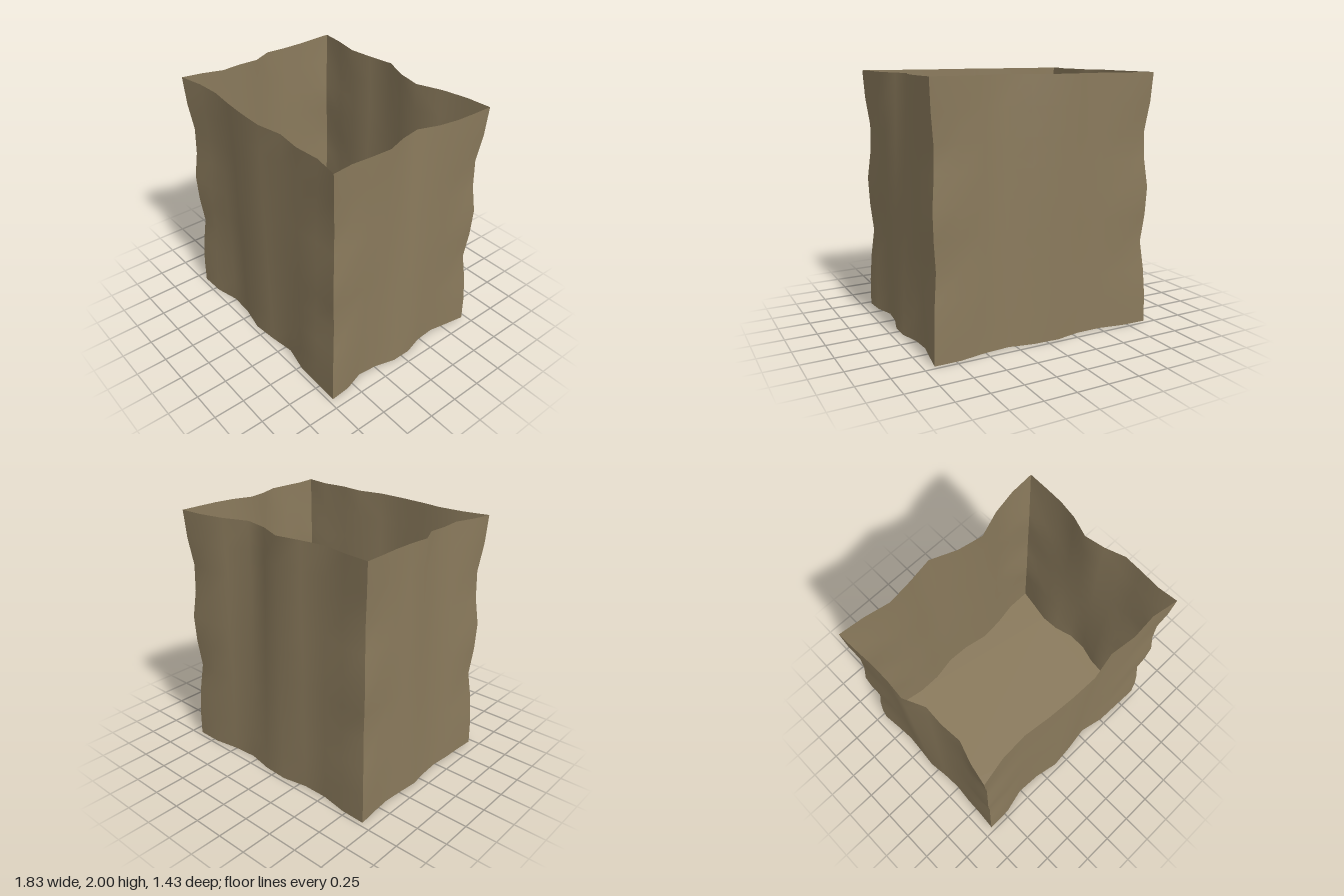
import * as THREE from 'three';

const HALF_X = 0.917, HALF_Z = 0.716, HEIGHT = 2, SEG = 9;

// How far the vertical corner creases pinch inward, from floor to rim
const PINCH = [0, 0.002, 0.015, 0.038, 0.018, 0.01, 0.033, 0.038, 0.012, 0];

// Each wall: outward distance of its floor and rim edges, left to right seen from outside
const WALLS = [
  { name: 'frontWall', turn: 0, half: HALF_X, depth: HALF_Z,
    floor: [0.716, 0.71, 0.66, 0.67, 0.71, 0.69, 0.66, 0.705, 0.71, 0.716],
    rim: [0.716, 0.675, 0.665, 0.69, 0.705, 0.71, 0.67, 0.695, 0.68, 0.716] },
  { name: 'rightWall', turn: Math.PI / 2, half: HALF_Z, depth: HALF_X,
    floor: [0.917, 0.905, 0.855, 0.87, 0.915, 0.915, 0.87, 0.86, 0.89, 0.917],
    rim: [0.917, 0.9, 0.91, 0.915, 0.86, 0.83, 0.885, 0.91, 0.915, 0.917] },
  { name: 'backWall', turn: Math.PI, half: HALF_X, depth: HALF_Z,
    floor: [0.716, 0.716, 0.68, 0.665, 0.705, 0.714, 0.675, 0.675, 0.71, 0.716],
    rim: [0.716, 0.705, 0.665, 0.59, 0.63, 0.714, 0.68, 0.655, 0.695, 0.716] },
  { name: 'leftWall', turn: -Math.PI / 2, half: HALF_Z, depth: HALF_X,
    floor: [0.917, 0.9, 0.888, 0.9, 0.915, 0.895, 0.885, 0.9, 0.905, 0.917],
    rim: [0.917, 0.91, 0.9, 0.9, 0.912, 0.837, 0.845, 0.832, 0.885, 0.917] },
];

// Point on a crumpled wall in its own frame (x along the wall, z outward)
function wallPoint(wall, i, j) {
  const s = (2 * i) / SEG - 1;
  const t = j / SEG;
  const pinch = PINCH[j];
  const outward = THREE.MathUtils.lerp(wall.floor[i], wall.rim[i], t);
  return new THREE.Vector3(s * (wall.half - pinch), t * HEIGHT, outward - pinch * s ** 4);
}

function wallGeometry(wall) {
  const geometry = new THREE.PlaneGeometry(1, 1, SEG, SEG);
  const position = geometry.attributes.position;
  for (let k = 0; k < position.count; k++) {
    const i = k % (SEG + 1);
    const j = SEG - Math.floor(k / (SEG + 1));
    const p = wallPoint(wall, i, j);
    position.setXYZ(k, p.x, p.y, p.z);
  }
  geometry.computeVertexNormals();
  return geometry;
}

export function createModel() {
  const model = new THREE.Group();
  model.name = 'paperBag';
  const paper = new THREE.MeshStandardMaterial({ color: 0x8a7a5c, side: THREE.DoubleSide });

  // Four crumpled walls, separate so the corner creases stay sharp
  const up = new THREE.Vector3(0, 1, 0);
  const outline = [];
  for (const wall of WALLS) {
    const mesh = new THREE.Mesh(wallGeometry(wall), paper);
    mesh.name = wall.name;
    mesh.rotation.y = wall.turn;
    model.add(mesh);

    // Collect the lower edge for the floor
    for (let i = 0; i < SEG; i++) {
      const p = wallPoint(wall, i, 0).applyAxisAngle(up, wall.turn);
      outline.push(new THREE.Vector2(p.x, p.z));
    }
  }

  // Flat floor that follows the wavy lower edge
  const floor = new THREE.Mesh(new THREE.ShapeGeometry(new THREE.Shape(outline)), paper);
  floor.name = 'floor';
  floor.rotation.x = Math.PI / 2;
  model.add(floor);

  return model;
}
